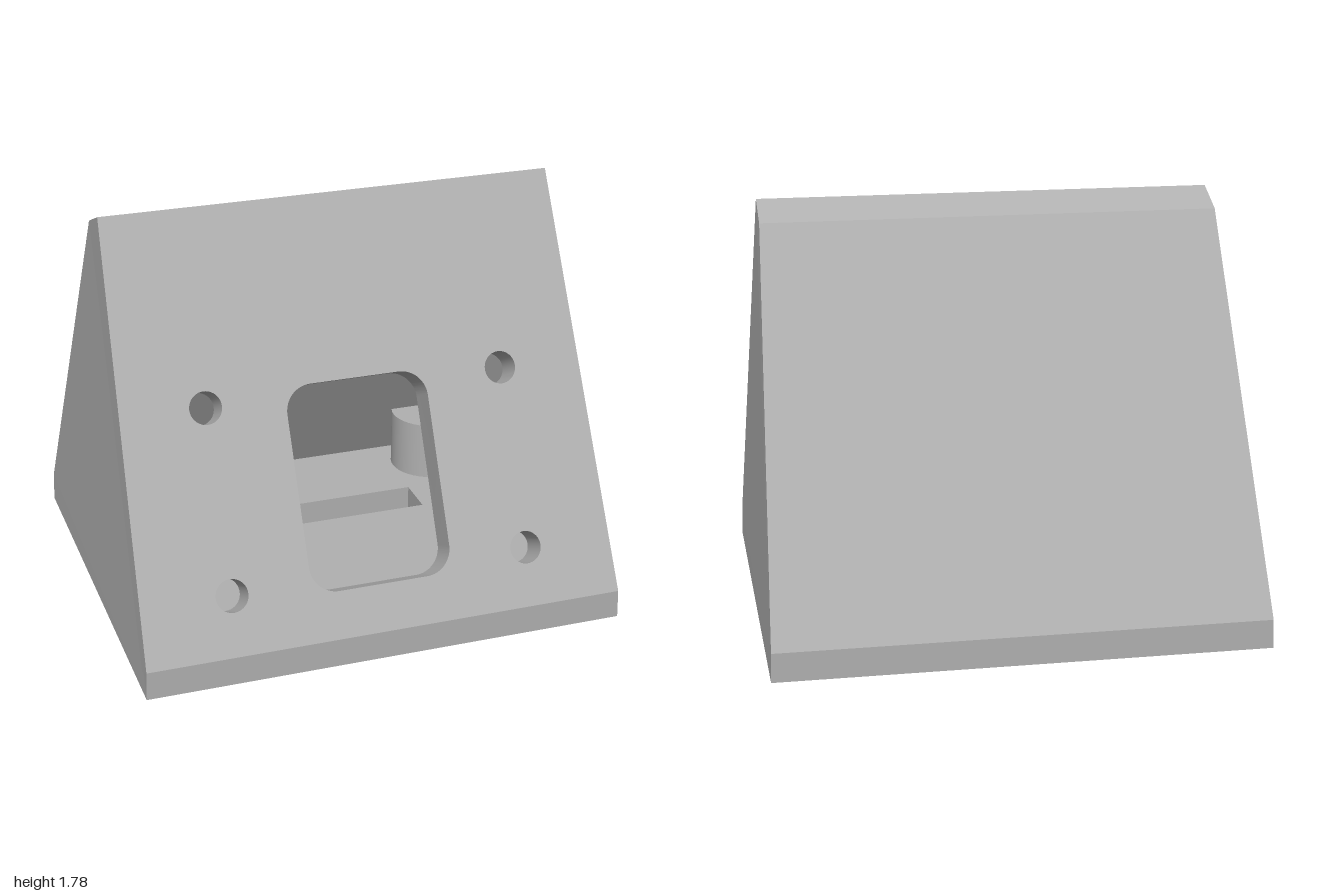
import * as THREE from 'three';
import { toCreasedNormals } from 'three/addons/utils/BufferGeometryUtils.js';

const FLOOR = 0.17, WALL = 0.14;

// Flat polygons, turned to face away from (or towards) a central point
function facets(polygons, centre, inward = false) {
  const out = [];
  for (const poly of polygons) {
    const p = poly.map((c) => new THREE.Vector3(...c));
    const n = p[1].clone().sub(p[0]).cross(p[2].clone().sub(p[0]));
    const facesOut = n.dot(p[0].clone().sub(centre)) > 0;
    if (facesOut === inward) p.reverse();
    for (let i = 1; i < p.length - 1; i++) {
      for (const q of [p[0], p[i], p[i + 1]]) out.push(q.x, q.y, q.z);
    }
  }
  const g = new THREE.BufferGeometry();
  g.setAttribute('position', new THREE.Float32BufferAttribute(out, 3));
  g.computeVertexNormals();
  return g;
}

function outline(points) {
  return new THREE.Shape(points.map(([x, y]) => new THREE.Vector2(x, y)));
}

function roundedHole(w, y0, y1, r) {
  const h = new THREE.Path();
  h.absarc(w - r, y1 - r, r, 0, Math.PI / 2);
  h.absarc(-w + r, y1 - r, r, Math.PI / 2, Math.PI);
  h.absarc(-w + r, y0 + r, r, Math.PI, Math.PI * 1.5);
  h.absarc(w - r, y0 + r, r, Math.PI * 1.5, Math.PI * 2);
  h.closePath();
  return h;
}

export function createModel() {
  const model = new THREE.Group();
  const grey = new THREE.MeshStandardMaterial({ color: 0xb0b0b0 });
  const add = (name, geometry) => {
    const mesh = new THREE.Mesh(geometry, grey);
    mesh.name = name;
    model.add(mesh);
    return mesh;
  };

  // Outer skin: side walls with lower chamfers, front bands, back and ridge
  const A = (s) => [s, 0.08, 0.88], B = (s) => [s * 0.997, 0.2, 0.88];
  const C = (s) => [s * 0.94, 1.78, 0.09], D = (s) => [s * 0.94, 1.71, -0.07];
  const E = (s) => [s * 0.997, 0.2, -0.88], F = (s) => [s, 0.08, -0.88];
  const G = (s) => [s * 0.94, 0, 0.72];
  const span = (p, q) => [p(1), q(1), q(-1), p(-1)];
  const skin = [span(G, A), span(A, B), span(C, D), span(D, E), span(E, F)];
  for (const s of [-1, 1]) {
    skin.push([A(s), B(s), C(s), D(s), E(s), F(s)], [A(s), F(s), G(s)]);
  }
  add('outerShell', facets(skin, new THREE.Vector3(0, 0.6, 0)));

  // Sloping front panel with window and four screw holes
  const up = new THREE.Vector3(0, 1.58, -0.79);
  const length = up.length();
  up.normalize();
  const normal = new THREE.Vector3(1, 0, 0).cross(up);
  const panel = outline([[-0.997, 0], [0.997, 0], [0.94, length], [-0.94, length]]);
  panel.holes.push(roundedHole(0.296, 0.19, 1.018, 0.11));
  for (const x of [-0.62, 0.62]) {
    for (const t of [0.24, 0.979]) {
      panel.holes.push(new THREE.Path().absarc(x, t, 0.066, 0, Math.PI * 2));
    }
  }
  const panelGeo = new THREE.ExtrudeGeometry(panel, { depth: WALL, bevelEnabled: false, curveSegments: 20 });
  panelGeo.translate(0, 0, -WALL);
  panelGeo.applyMatrix4(new THREE.Matrix4()
    .makeBasis(new THREE.Vector3(1, 0, 0), up, normal).setPosition(0, 0.2, 0.88));
  add('frontPanel', toCreasedNormals(panelGeo, 0.6));

  // Base with a cable slot; its underside rises towards the back
  const base = outline([[-0.94, -0.72], [0.94, -0.72], [1, 0.88], [-1, 0.88]]);
  base.holes.push(outline([[-0.52, 0.13], [-0.52, 0.31], [0.52, 0.31], [0.52, 0.13]]));
  const baseGeo = new THREE.ExtrudeGeometry(base, { depth: FLOOR, bevelEnabled: false });
  baseGeo.rotateX(-Math.PI / 2);
  const pos = baseGeo.attributes.position;
  for (let i = 0; i < pos.count; i++) {
    const z = pos.getZ(i);
    if (pos.getY(i) < 0.01) pos.setY(i, 0.05 * (0.72 - z));
    else if (z < -0.5) pos.setXYZ(i, pos.getX(i) * 0.97, FLOOR, -0.82);
  }
  baseGeo.computeVertexNormals();
  add('base', baseGeo);

  // Inside faces of the hollow body
  const P = (s) => [s * 0.87, FLOOR, 0.738], Q = (s) => [s * 0.87, 1.593, 0.026];
  const R = (s) => [s * 0.87, FLOOR, -0.738];
  add('cavityWalls', facets(
    [span(Q, R), [P(1), Q(1), R(1)], [P(-1), Q(-1), R(-1)]],
    new THREE.Vector3(0, 0.6, 0), true));

  // Round posts in the rear corners of the cavity
  for (const s of [-1, 1]) {
    add(s > 0 ? 'leftPost' : 'rightPost', new THREE.CylinderGeometry(0.18, 0.18, 0.26, 40))
      .position.set(s * 0.71, FLOOR + 0.13, -0.54);
  }
  return model;
}
